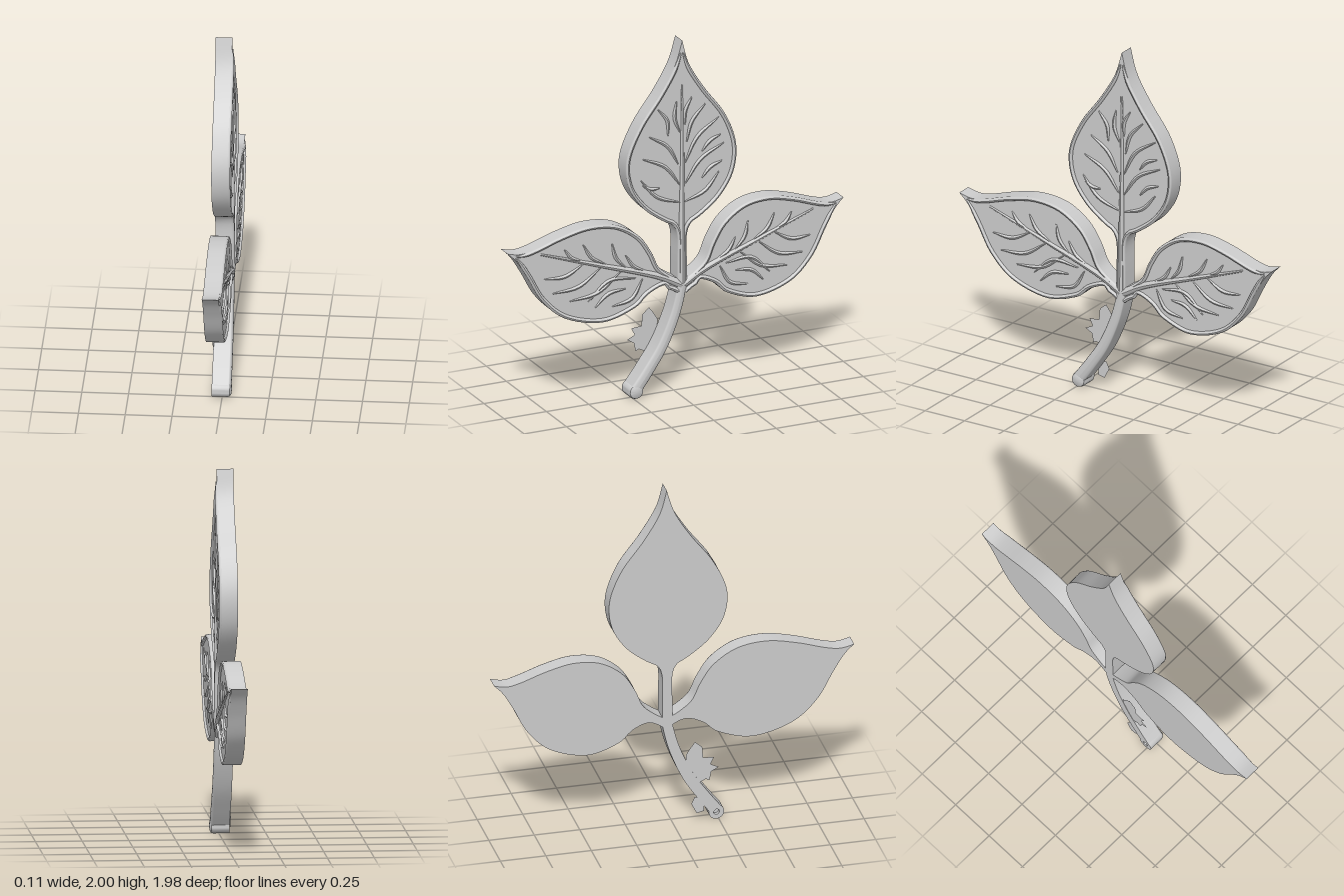
import * as THREE from 'three';
import { toCreasedNormals } from 'three/addons/utils/BufferGeometryUtils.js';

const BACK = -0.055, FACE = 0.034;
const material = new THREE.MeshStandardMaterial({ color: 0xcccccc });
const sheetMaterial = new THREE.MeshStandardMaterial({ color: 0xcccccc, side: THREE.DoubleSide });

const v2 = (pts) => pts.map(([x, y]) => new THREE.Vector2(x, y));
const spline = (pts, n = 48) => new THREE.SplineCurve(v2(pts)).getSpacedPoints(n);

function add(parent, name, geometry, mat = material) {
  const mesh = new THREE.Mesh(geometry, mat);
  mesh.name = name;
  parent.add(mesh);
  return mesh;
}

// Flat-backed slab cut from a closed outline
function slab(outline) {
  const g = new THREE.ExtrudeGeometry(new THREE.Shape(outline), { depth: FACE - BACK, bevelEnabled: false });
  g.translate(0, 0, BACK);
  return toCreasedNormals(g, 0.6);
}

// Raised tapering ridge lying on the face; radius(t) gives the half width
function ridge(points, radius, flat = 0.8, segments = 32, sides = 8) {
  const curve = new THREE.CatmullRomCurve3(points.map((p) => new THREE.Vector3(p.x, p.y, 0)), false, 'centripetal');
  const g = new THREE.TubeGeometry(curve, segments, 1, sides, false);
  const pos = g.attributes.position, v = new THREE.Vector3();
  for (let i = 0; i <= segments; i++) {
    const c = curve.getPointAt(i / segments), r = radius(i / segments);
    for (let j = 0; j <= sides; j++) {
      const k = i * (sides + 1) + j;
      v.fromBufferAttribute(pos, k).sub(c).multiplyScalar(r).add(c);
      pos.setXYZ(k, v.x, v.y, v.z * flat + FACE);
    }
  }
  g.computeVertexNormals();
  return g;
}

// Shift an edge line inward, towards the leaf centre
function inset(pts, d, centre) {
  return pts.map((p, i) => {
    const t = pts[Math.min(i + 1, pts.length - 1)].clone().sub(pts[Math.max(i - 1, 0)]).normalize();
    const n = new THREE.Vector2(-t.y, t.x);
    if (n.dot(centre.clone().sub(p)) < 0) n.negate();
    return p.clone().addScaledVector(n, d);
  });
}

// One leaf: slab, raised rim, midrib and side veins
function leaf(name, { sideA, sideB, rib, veins, centre }, map = (p) => p) {
  const group = new THREE.Group();
  group.name = name;
  const a = spline(sideA.map(map)), b = spline(sideB.map(map));
  const mid = new THREE.Vector2(...map(centre));
  add(group, 'leafBlade', slab([...a, ...b.slice(0, -1).reverse()]));
  for (const edge of [a, b]) {
    const line = inset(edge, 0.011, mid).slice(0, -2);
    add(group, 'leafRim', ridge(line, (t) => 0.012 * Math.min(1, (1 - t) * 10 + 0.35), 0.95, 64));
  }
  add(group, 'midrib', ridge(v2(rib.map(map)), (t) => 0.021 - 0.015 * t, 0.75));
  veins.forEach(([x0, y0, x1, y1, bend = 0.12]) => {
    // Each vein bows sideways and swells in the middle
    const mx = (x0 + x1) / 2 - (y1 - y0) * bend, my = (y0 + y1) / 2 + (x1 - x0) * bend;
    const path = v2([[x0, y0], [mx, my], [x1, y1]].map(map));
    add(group, 'sideVein', ridge(path, (t) => 0.003 + 0.008 * Math.sin(Math.PI * t), 1, 14, 6));
  });
  return group;
}

const topLeaf = {
  centre: [0.03, 1.35],
  sideA: [[0.005, 0.6], [0.005, 0.75], [0.005, 0.89], [-0.02, 0.955], [-0.08, 0.99], [-0.195, 1.08], [-0.28, 1.21],
    [-0.295, 1.37], [-0.22, 1.545], [-0.1, 1.71], [-0.01, 1.86], [0.035, 2]],
  sideB: [[0.06, 0.6], [0.06, 0.75], [0.06, 0.89], [0.085, 0.955], [0.145, 0.99], [0.255, 1.08], [0.335, 1.21],
    [0.35, 1.37], [0.285, 1.545], [0.165, 1.71], [0.075, 1.86], [0.035, 2]],
  rib: [[0.032, 0.62], [0.032, 0.95], [0.035, 1.3], [0.035, 1.75]],
  veins: [
    [0.05, 1.08, 0.25, 1.22, -0.12], [0.05, 1.18, 0.28, 1.38], [0.05, 1.3, 0.25, 1.53], [0.06, 1.42, 0.17, 1.62],
    [0.15, 1.2, 0.27, 1.28], [0.05, 1.52, 0.09, 1.67], [0.15, 1.35, 0.26, 1.43],
    [0.02, 1.08, -0.21, 1.24], [0.02, 1.18, -0.2, 1.36, -0.12], [0.01, 1.3, -0.16, 1.48, -0.12],
    [-0.05, 1.47, -0.11, 1.63, -0.15], [0.02, 1.48, 0, 1.66], [-0.1, 1.18, -0.2, 1.21],
  ],
};

const sideLeaf = {
  centre: [-0.45, 0.75],
  sideA: [[0.03, 0.635], [-0.04, 0.675], [-0.105, 0.73], [-0.15, 0.825], [-0.225, 0.93], [-0.355, 1.01],
    [-0.515, 1.03], [-0.675, 1], [-0.835, 0.95], [-0.92, 0.935], [-0.995, 0.95]],
  sideB: [[0.03, 0.575], [-0.015, 0.605], [-0.08, 0.622], [-0.17, 0.585], [-0.25, 0.52], [-0.435, 0.47],
    [-0.65, 0.525], [-0.79, 0.645], [-0.88, 0.8], [-0.94, 0.895], [-0.995, 0.95]],
  rib: [[0.03, 0.61], [-0.095, 0.675], [-0.46, 0.8], [-0.8, 0.915]],
  veins: [
    [-0.2, 0.68, -0.38, 0.55, 0.2], [-0.24, 0.69, -0.52, 0.6, -0.2], [-0.33, 0.74, -0.63, 0.62],
    [-0.45, 0.78, -0.73, 0.68], [-0.55, 0.82, -0.78, 0.77], [-0.3, 0.64, -0.48, 0.56, -0.15],
    [-0.18, 0.72, -0.3, 0.83], [-0.3, 0.76, -0.38, 0.91], [-0.42, 0.8, -0.55, 0.93], [-0.56, 0.84, -0.66, 0.92],
  ],
};

export function createModel() {
  const model = new THREE.Group();
  model.name = 'leafSprig';
  const sprig = new THREE.Group();
  sprig.name = 'sprig';
  sprig.rotation.y = Math.PI / 2; // veined face towards +x
  model.add(sprig);

  sprig.add(leaf('topLeaf', topLeaf));
  sprig.add(leaf('frontLeaf', sideLeaf));
  sprig.add(leaf('rearLeaf', sideLeaf, ([x, y]) => [0.072 - x * 0.918, y]));

  // Curved stem with a rounded face
  const stemPath = [[0.032, 0.64], [0.028, 0.58], [-0.01, 0.44], [-0.08, 0.28], [-0.165, 0.15], [-0.235, 0.055]];
  const centreLine = spline(stemPath, 40), left = [], right = [];
  centreLine.forEach((p, i) => {
    const t = centreLine[Math.min(i + 1, 40)].clone().sub(centreLine[Math.max(i - 1, 0)]).normalize();
    const w = 0.027 + 0.007 * (i / 40), n = new THREE.Vector2(-t.y, t.x).multiplyScalar(w);
    left.push(p.clone().add(n));
    right.push(p.clone().sub(n));
  });
  add(sprig, 'stem', slab([...left, ...right.reverse()]));
  add(sprig, 'stemFace', ridge(centreLine, (t) => 0.027 + 0.007 * t, 0.45, 40, 12));

  // Knob at the cut end, with a small socket in its back
  const knob = new THREE.LatheGeometry(v2([[0, 0.02], [0.016, 0.02], [0.016, 0], [0.042, 0], [0.042, 0.085],
    [0.038, 0.097], [0.026, 0.104], [0, 0.106]]), 28);
  knob.rotateX(Math.PI / 2);
  add(sprig, 'stemKnob', toCreasedNormals(knob, 0.6)).position.set(-0.238, 0.042, BACK);

  // Thin ragged flakes level with the back
  const flakes = [
    [[-0.12, 0.473], [-0.16, 0.44], [-0.165, 0.375], [-0.225, 0.37], [-0.205, 0.33], [-0.25, 0.308], [-0.21, 0.285],
      [-0.2, 0.235], [-0.18, 0.245], [-0.14, 0.225], [-0.11, 0.25], [-0.075, 0.32], [-0.07, 0.4], [-0.095, 0.44]],
    [[-0.17, 0.055], [-0.13, 0.045], [-0.1, 0.105], [-0.12, 0.145], [-0.17, 0.12]],
  ];
  for (const pts of flakes) {
    add(sprig, 'flake', new THREE.ShapeGeometry(new THREE.Shape(v2(pts))), sheetMaterial).position.z = BACK + 0.002;
  }
  return model;
}
